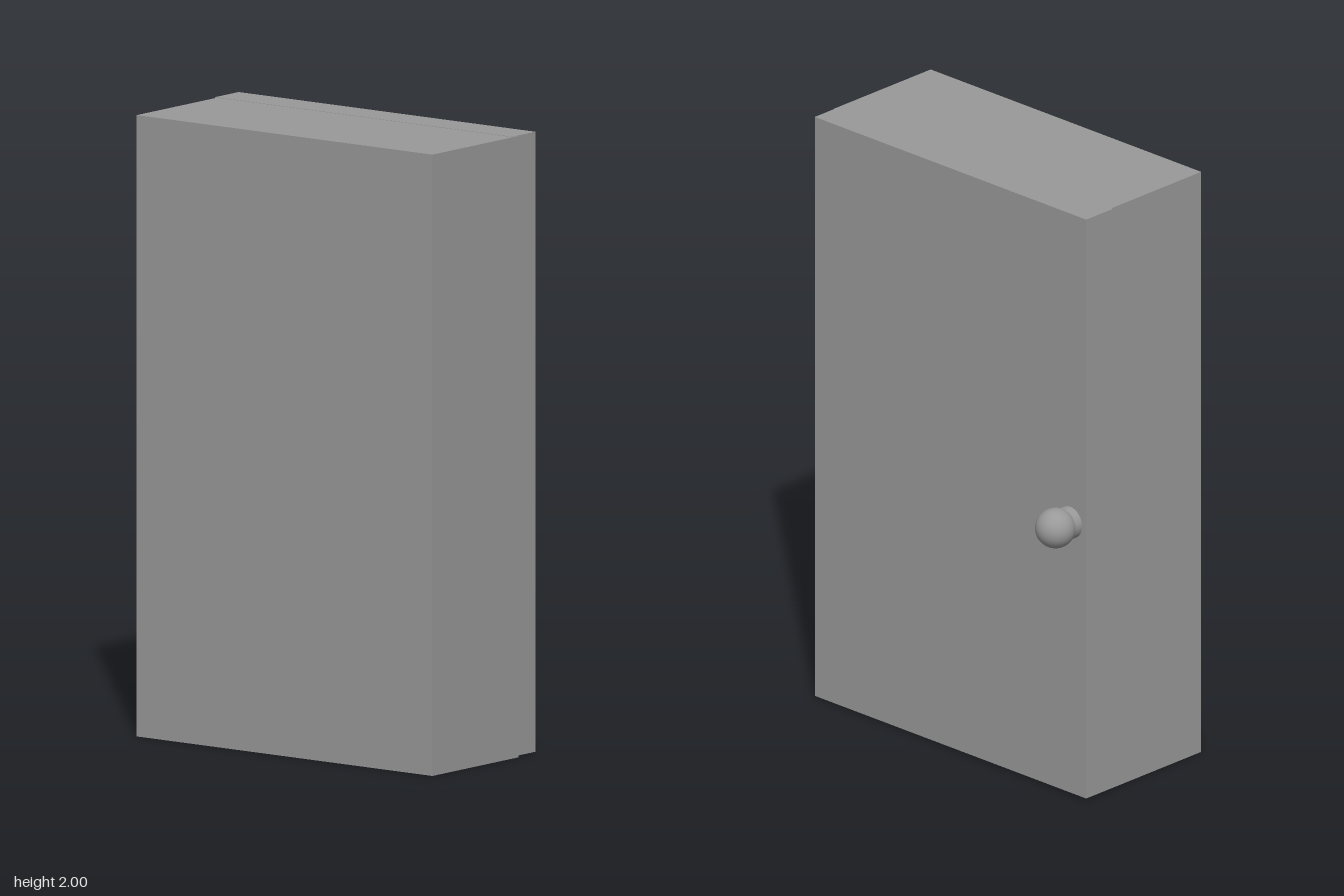
import * as THREE from 'three';

export function createModel() {
  const group = new THREE.Group();
  const grey = new THREE.MeshStandardMaterial({ color: 0x999999 });
  grey.name = 'grey';

  function add(name, geometry, x, y, z) {
    const mesh = new THREE.Mesh(geometry, grey);
    mesh.name = name;
    mesh.position.set(x, y, z);
    group.add(mesh);
    return mesh;
  }

  // Box given by its lower and upper corners
  function addBox(name, [x0, y0, z0], [x1, y1, z1]) {
    return add(name, new THREE.BoxGeometry(x1 - x0, y1 - y0, z1 - z0),
      (x0 + x1) / 2, (y0 + y1) / 2, (z0 + z1) / 2);
  }

  // Cabinet body, with the door slab overlapping it slightly
  addBox('cabinetBody', [-0.333, 0, -0.592], [0.11, 1.999, 0.6]);
  addBox('door', [0.08, 0.005, -0.6], [0.2, 2, 0.596]);

  // Knob on its short round stem
  const y = 0.937, z = -0.529;
  const stem = add('knobStem', new THREE.CylinderGeometry(0.053, 0.053, 0.08, 32), 0.22, y, z);
  stem.rotation.z = -Math.PI / 2;
  add('knob', new THREE.SphereGeometry(0.065, 32, 20), 0.267, y, z);

  return group;
}
